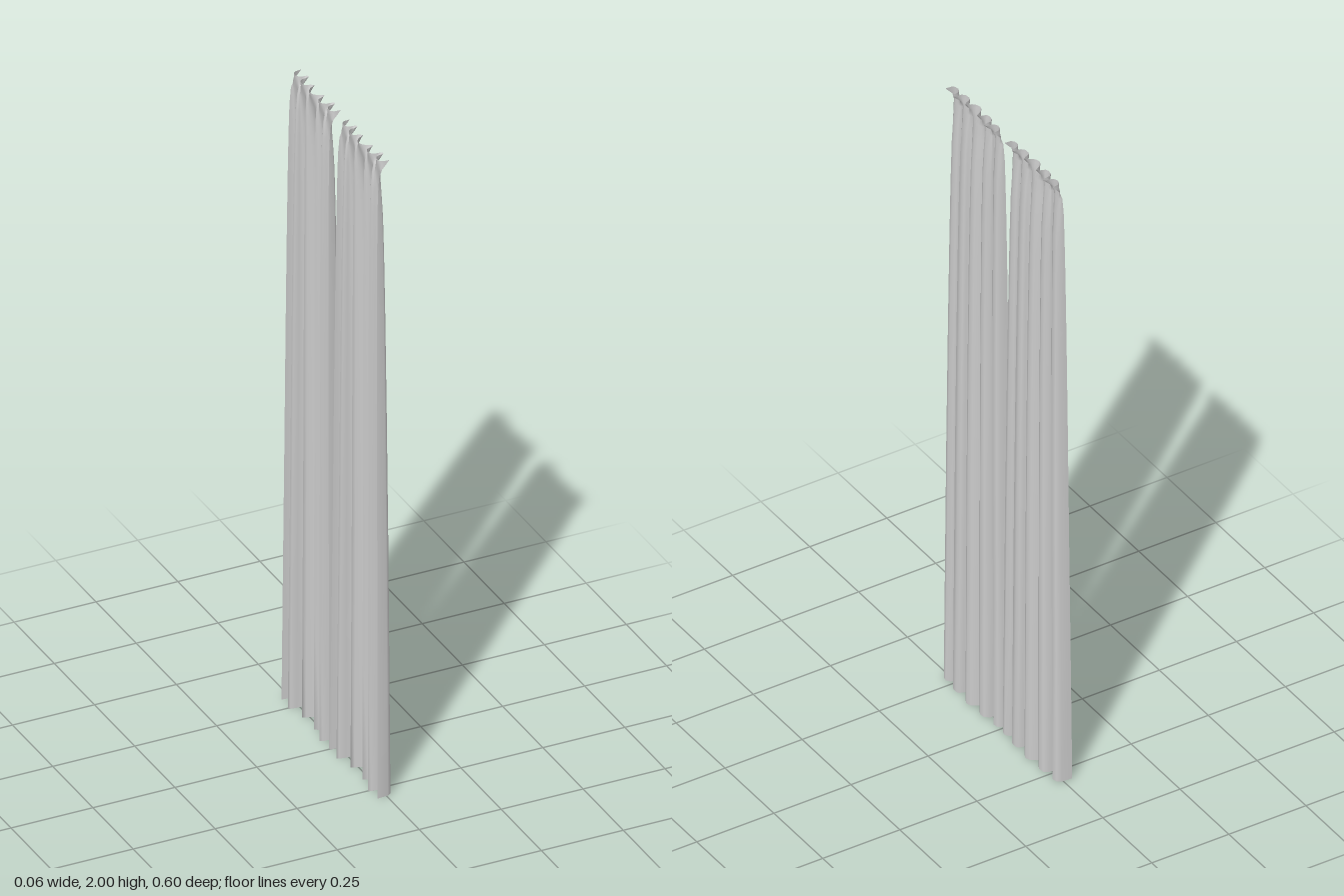
import * as THREE from 'three';

// Hem of half a panel: [distance from panel centre along z, fold depth along x]
const HALF_HEM = [
  [0, 0.03], [0.014, 0.024], [0.026, 0.008], [0.032, -0.01], [0.037, -0.02],
  [0.045, -0.006], [0.048, 0.008], [0.052, 0.02], [0.062, 0.025], [0.08, 0.023],
  [0.09, 0.008], [0.09, -0.01], [0.093, -0.028], [0.098, -0.033], [0.104, -0.026],
  [0.105, -0.006], [0.11, 0.011], [0.122, 0.02], [0.138, 0.016], [0.146, 0.004],
  [0.148, -0.028],
];

// Heights: [y, fold depth scale, x offset]; folds pinch at the neck and flip in the heading
const ROWS = [
  [0, 1, 0], [0.4, 0.94, 0], [0.8, 0.87, 0], [1.2, 0.78, -0.001], [1.5, 0.68, -0.002],
  [1.7, 0.58, -0.003], [1.82, 0.48, -0.004], [1.9, 0.34, -0.006], [1.95, 0.16, -0.007],
  [1.975, -0.1, -0.005], [1.99, -0.42, 0], [2, -0.6, 0.003],
];

function createPanelGeometry() {
  const mirrored = HALF_HEM.slice(1).reverse().map(([d, x]) => [-d, x]);
  const hem = [...mirrored, ...HALF_HEM];
  const cols = hem.length;
  const positions = [];
  const indices = [];

  // Each row is the hem profile, narrowed and flattened with height
  for (const [y, depth, shift] of ROWS) {
    const width = 1 - 0.085 * y;
    for (const [d, x] of hem) positions.push(x * depth + shift, y, d * width);
  }
  for (let r = 0; r < ROWS.length - 1; r++) {
    for (let c = 0; c < cols - 1; c++) {
      const a = r * cols + c;
      const b = a + cols;
      indices.push(a, b, a + 1, a + 1, b, b + 1);
    }
  }
  const geometry = new THREE.BufferGeometry();
  geometry.setAttribute('position', new THREE.Float32BufferAttribute(positions, 3));
  geometry.setIndex(indices);
  geometry.computeVertexNormals();
  return geometry;
}

export function createModel() {
  const group = new THREE.Group();
  group.name = 'curtains';
  const fabric = new THREE.MeshStandardMaterial({ color: 0xcccccc, side: THREE.DoubleSide });
  const geometry = createPanelGeometry();

  // Two identical panels with a narrow gap between them
  for (const [name, z] of [['frontCurtain', 0.151], ['backCurtain', -0.151]]) {
    const panel = new THREE.Mesh(geometry, fabric);
    panel.name = name;
    panel.position.z = z;
    group.add(panel);
  }
  return group;
}
